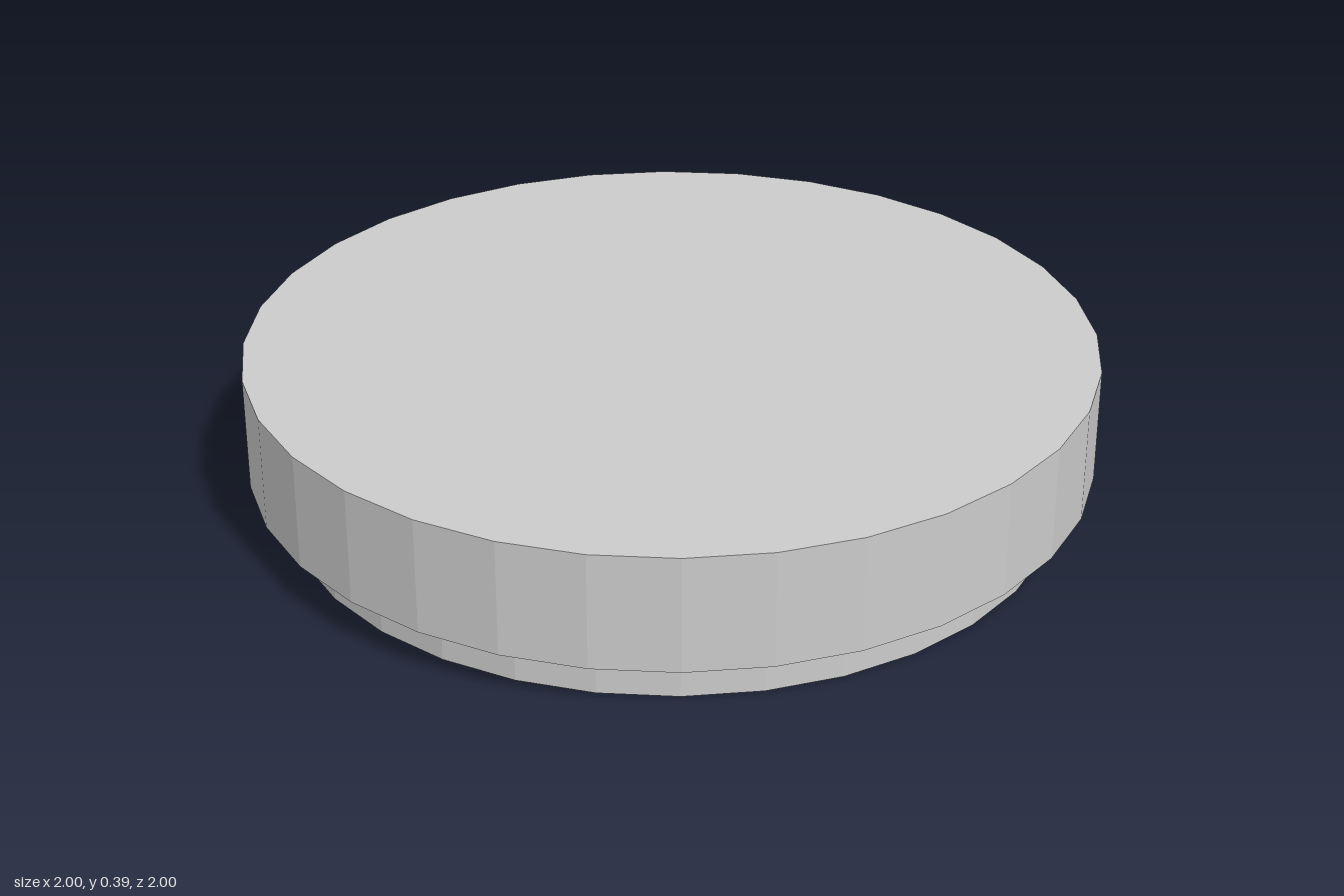
import * as THREE from 'three';

const SIDES = 32;

// Faceted disc standing between two heights
function disc(name, radius, bottom, top, material) {
  const geometry = new THREE.CylinderGeometry(radius, radius, top - bottom, SIDES);
  const mesh = new THREE.Mesh(geometry, material);
  mesh.name = name;
  mesh.position.y = (bottom + top) / 2;
  return mesh;
}

export function createModel() {
  const group = new THREE.Group();
  group.name = 'steppedDisc';
  const material = new THREE.MeshStandardMaterial({ color: 0xcccccc, flatShading: true });

  // Narrow foot below, wide slab on top
  group.add(disc('foot', 0.92, 0, 0.112, material));
  group.add(disc('slab', 1, 0.112, 0.388, material));
  return group;
}
